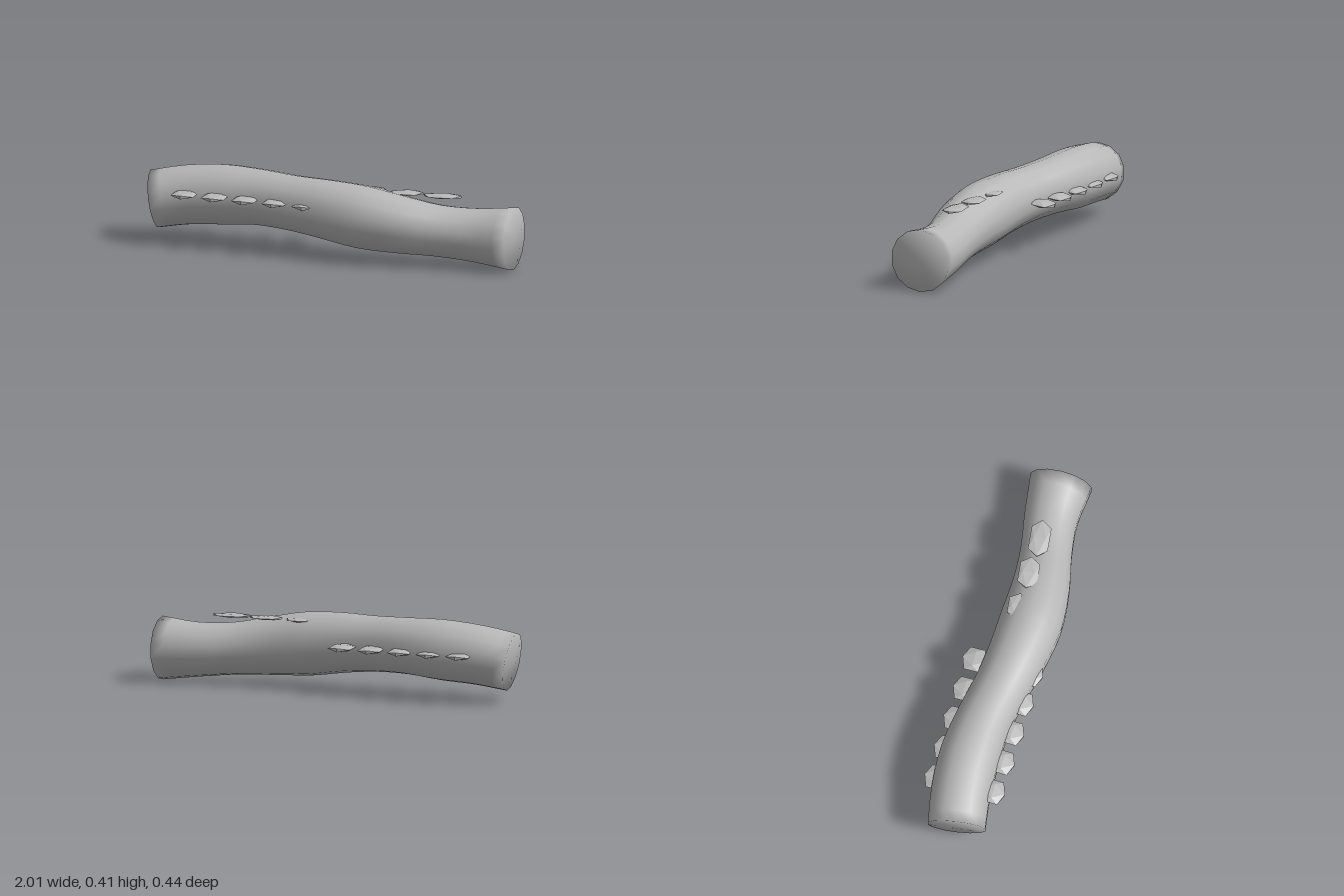
import * as THREE from 'three';

const SIDES = 14, RINGS = 30;

// Log stations: x, y, z of the centre line, and radius
const STATIONS = [
  [-0.975, 0.215, 0.012, 0.152], [-0.8, 0.245, -0.018, 0.156], [-0.6, 0.26, -0.03, 0.158],
  [-0.4, 0.266, -0.018, 0.147], [-0.2, 0.26, 0.015, 0.145], [0, 0.25, 0.043, 0.156],
  [0.2, 0.23, 0.056, 0.165], [0.4, 0.207, 0.047, 0.152], [0.6, 0.185, 0.015, 0.136],
  [0.8, 0.172, -0.018, 0.142], [0.997, 0.169, -0.026, 0.165],
];

// Smooth wavy log: rings swept square to the centre line, closed by end fans
function logGeometry() {
  const path = new THREE.CatmullRomCurve3(STATIONS.map(([x, y, z]) => new THREE.Vector3(x, y, z)), false, 'catmullrom');
  const radii = new THREE.CatmullRomCurve3(STATIONS.map((s) => new THREE.Vector3(s[3], 0, 0)), false, 'catmullrom');
  const pos = [], idx = [];
  for (let i = 0; i <= RINGS; i++) {
    const t = i / RINGS;
    const c = path.getPoint(t), r = radii.getPoint(t).x, dir = path.getTangent(t);
    const side = dir.clone().cross(new THREE.Vector3(0, 1, 0)).normalize(); // points to +z
    const up = side.clone().cross(dir);
    for (let j = 0; j < SIDES; j++) {
      const a = (j / SIDES) * Math.PI * 2;
      const p = c.clone().addScaledVector(up, r * Math.cos(a)).addScaledVector(side, r * Math.sin(a));
      pos.push(p.x, p.y, p.z);
    }
  }
  for (let i = 0; i < RINGS; i++) {
    for (let j = 0; j < SIDES; j++) {
      const a = i * SIDES + j, b = i * SIDES + (j + 1) % SIDES;
      idx.push(a, b, a + SIDES, b, b + SIDES, a + SIDES);
    }
  }
  // End caps share the rim vertices so the shading rolls over the edge
  const first = pos.length / 3, start = path.getPoint(0), end = path.getPoint(1);
  pos.push(start.x, start.y, start.z, end.x, end.y, end.z);
  for (let j = 0; j < SIDES; j++) {
    const k = (j + 1) % SIDES, last = RINGS * SIDES;
    idx.push(first, k, j, first + 1, last + j, last + k);
  }
  const geo = new THREE.BufferGeometry();
  geo.setAttribute('position', new THREE.Float32BufferAttribute(pos, 3));
  geo.setIndex(idx);
  geo.computeVertexNormals();
  return geo;
}

export function createModel() {
  const model = new THREE.Group();
  const bark = new THREE.MeshStandardMaterial({ color: 0xb8b8b8 });
  bark.name = 'greyBark';

  const log = new THREE.Mesh(logGeometry(), bark);
  log.name = 'log';
  model.add(log);

  // Flattened faceted bracket fungus
  const fungusGeometry = new THREE.IcosahedronGeometry(1, 0);
  const addFungus = (name, position, scale, tilt = 0, turn = 0) => {
    const fungus = new THREE.Mesh(fungusGeometry, bark);
    fungus.name = name;
    fungus.position.set(...position);
    fungus.scale.set(...scale);
    fungus.rotation.set(tilt, turn, 0);
    model.add(fungus);
  };

  // Rows along the front and back, drooping slightly outward
  for (let i = 0; i < 5; i++) {
    const x = -0.76 + i * 0.168;
    addFungus('frontFungus', [x, 0.284, 0.143], [0.074, 0.018, 0.074], 0.07);
    addFungus('backFungus', [x, 0.255, -0.161], [0.074, 0.018, 0.074], -0.1);
  }

  // Long flat fungi on top, growing toward one end
  [[0.22, 0.08], [0.41, 0.1], [0.605, 0.118]].forEach(([x, length]) => {
    addFungus('topFungus', [x, 0.361, -0.021], [0.06, 0.011, length], 0, Math.PI / 2 + 0.13);
  });

  return model;
}
